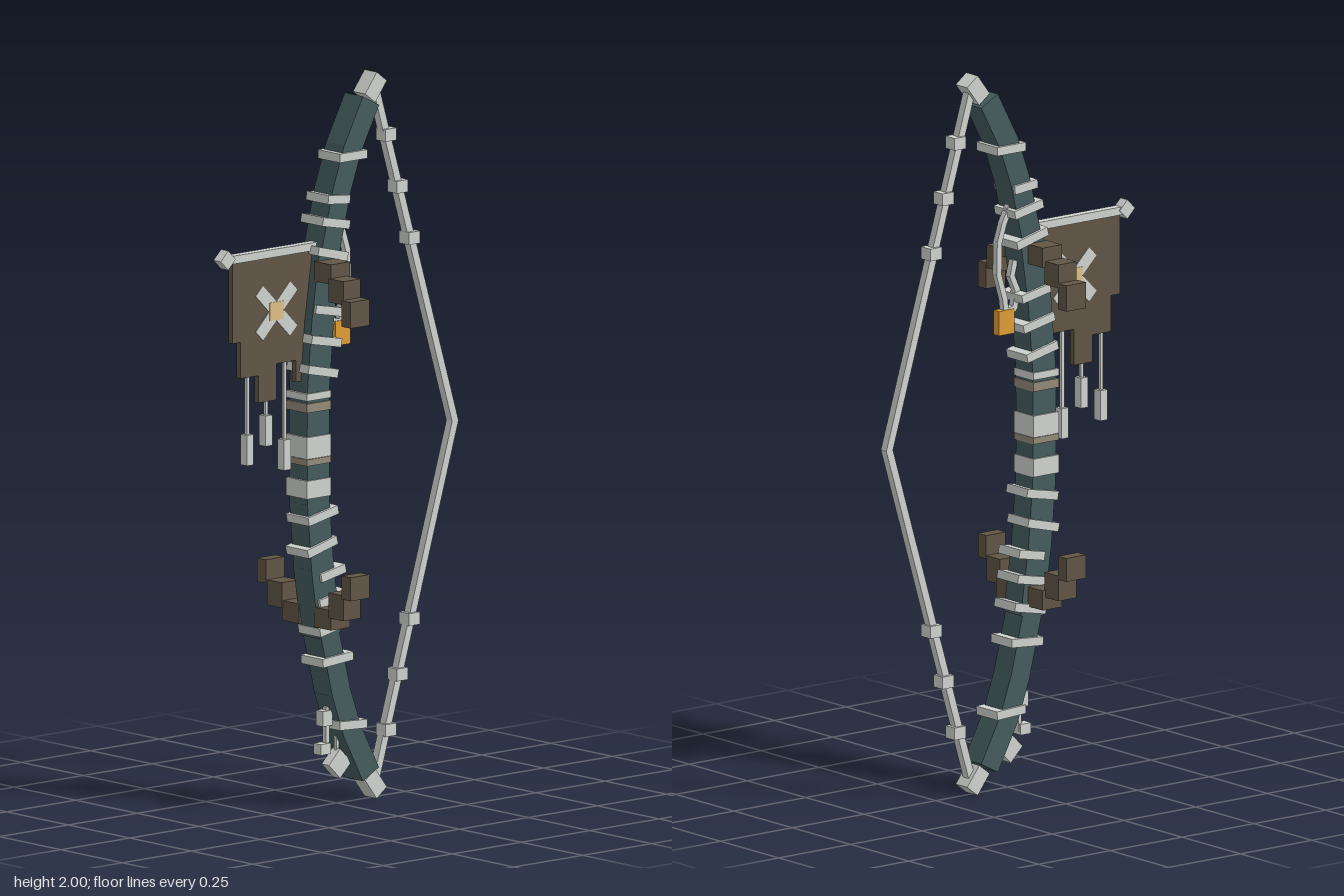
import * as THREE from 'three';

const mat = (name, color) => {
  const m = new THREE.MeshStandardMaterial({ color });
  m.name = name;
  return m;
};

export function createModel() {
  const teal = mat('dark teal wood', 0x465e60);
  const pale = mat('pale bone', 0xd3d7d3);
  const brown = mat('brown leather', 0x625747);
  const tan = mat('tan wrap', 0x968d7d);
  const amber = mat('amber', 0xe3a035);
  const straw = mat('straw', 0xe2c488);
  const root = new THREE.Group();
  root.name = 'bow';

  const box = (name, m, x, y, z, w, h, d, rot = 0) => {
    const b = new THREE.Mesh(new THREE.BoxGeometry(w, h, d), m);
    b.name = name;
    b.position.set(x, y, z);
    b.rotation.z = rot;
    root.add(b);
  };
  // Square bar between two points in the plane z = 0
  const bar = (name, m, a, b, w, d, extra = 0) => {
    const dx = b[0] - a[0], dy = b[1] - a[1];
    box(name, m, (a[0] + b[0]) / 2, (a[1] + b[1]) / 2, 0,
      w, Math.hypot(dx, dy) + extra, d, -Math.atan2(dx, dy));
  };

  // Limbs, string and tips, mirrored about y = 1
  const limb = [[-0.1, 1], [-0.098, 1.16], [-0.083, 1.34], [-0.057, 1.52], [-0.015, 1.69], [0.024, 1.80], [0.092, 1.928]];
  for (const s of [1, -1]) {
    const f = ([x, y]) => [x, 1 + s * (y - 1)];
    for (let i = 0; i < limb.length - 1; i++)
      bar('limb', teal, f(limb[i]), f(limb[i + 1]), i < 3 ? 0.08 : 0.066, 0.074, i < 5 ? 0.012 : 0);
    bar('limbTip', pale, f([0.1, 1.932]), f([0.142, 1.987]), 0.046, 0.05);
    bar('bowString', pale, f([0.13, 1.965]), f([0.42, 1]), 0.022, 0.024, 0.006);
    for (const [x, y] of [[0.18, 1.82], [0.222, 1.672], [0.265, 1.525]])
      box('stringKnot', pale, x, 1 + s * (y - 1), 0, 0.04, 0.034, 0.04);

    // Stepped guards on both faces
    for (const k of [1, -1]) {
      const steps = s > 0
        ? [[-0.075, 1.483, 0.065, 0.068, 0.055, 0.07], [-0.083, 1.44, 0.125, 0.062, 0.065, 0.06], [-0.085, 1.385, 0.172, 0.068, 0.072, 0.036]]
        : [[-0.075, 0.53, 0.065, 0.068, 0.055, 0.07], [-0.083, 0.572, 0.125, 0.062, 0.07, 0.06], [-0.085, 0.63, 0.172, 0.068, 0.065, 0.036]];
      for (const [x, y, z, w, h, d] of steps) box('guardStep', brown, x, y, k * z, w, h, d);
    }
  }

  // Grip wraps
  for (const [y, h, m] of [[1.14, 0.02, pale], [1.11, 0.025, tan], [1, 0.06, pale], [0.96, 0.018, tan], [0.885, 0.05, pale]])
    box('gripWrap', m, -0.101, y, 0, 0.088, h, 0.084);

  // Tilted bindings along the limbs
  const bindings = [
    [0.022, 1.785, 0.1, 0], [-0.03, 1.672, 0.08, -0.1], [-0.04, 1.608, 0.1, -0.2], [-0.052, 1.525, 0.11, -0.25],
    [-0.065, 1.37, 0.1, -0.2], [-0.075, 1.287, 0.11, -0.2], [-0.087, 1.205, 0.11, -0.22],
    [-0.087, 0.808, 0.11, 0.2], [-0.09, 0.722, 0.11, 0.25], [-0.05, 0.645, 0.09, 0.2],
    [-0.05, 0.575, 0.1, 0.2], [-0.045, 0.497, 0.11, 0.2], [-0.034, 0.405, 0.11, 0.08], [0.022, 0.218, 0.1, -0.05]];
  for (const [x, y, w, r] of bindings) box('binding', pale, x, y, 0, w, 0.024, 0.09, r);

  // Banner with a stepped hem
  bar('bannerPole', pale, [-0.4, 1.546], [-0.07, 1.546], 0.022, 0.024);
  box('poleFinial', pale, -0.406, 1.548, 0, 0.038, 0.038, 0.03, Math.PI / 4);
  const pts = [[-0.385, 1.537], [-0.385, 1.315], [-0.355, 1.315], [-0.355, 1.215], [-0.29, 1.215], [-0.29, 1.14],
    [-0.225, 1.14], [-0.225, 1.24], [-0.155, 1.24], [-0.155, 1.18], [-0.1, 1.18], [-0.07, 1.537]];
  const cloth = new THREE.Mesh(new THREE.ExtrudeGeometry(
    new THREE.Shape(pts.map(p => new THREE.Vector2(...p))), { depth: 0.016, bevelEnabled: false }), brown);
  cloth.name = 'bannerCloth';
  cloth.position.z = -0.008;
  root.add(cloth);
  // Emblem on both faces of the cloth
  for (const r of [1, -1]) box('emblemArm', pale, -0.227, 1.386, 0, 0.176, 0.037, r > 0 ? 0.021 : 0.02, r * Math.PI / 4);
  box('emblemCentre', straw, -0.227, 1.386, 0, 0.05, 0.05, 0.024);

  // Hanging weights
  for (const [x, top, y] of [[-0.325, 1.22, 1.015], [-0.257, 1.145, 1.06], [-0.19, 1.245, 0.985]]) {
    bar('tasselCord', pale, [x, top], [x, y], 0.009, 0.009);
    box('tasselWeight', pale, x, y, 0, 0.024, 0.084, 0.027);
  }

  // Looped cord with amber charm
  const cord = [[-0.01, 1.625], [0.018, 1.57], [0.034, 1.52], [0.036, 1.43], [0.015, 1.36], [0.01, 1.32]];
  const inner = [[-0.02, 1.46], [-0.01, 1.42], [-0.028, 1.38], [-0.02, 1.33], [0.008, 1.325]];
  for (const path of [cord, inner])
    for (let i = 0; i < path.length - 1; i++) bar('charmCord', pale, path[i], path[i + 1], 0.017, 0.018, 0.006);
  box('amberCharm', amber, 0.012, 1.296, 0, 0.054, 0.068, 0.024);

  // Lower charms
  bar('lowerCord', pale, [0, 0.23], [0, 0.12], 0.01, 0.01);
  box('diamondCharm', pale, 0, 0.11, 0, 0.058, 0.058, 0.03, Math.PI / 4);
  bar('lowerLink', pale, [-0.038, 0.27], [-0.038, 0.15], 0.012, 0.014);
  box('lowerBead', pale, -0.045, 0.24, 0, 0.034, 0.042, 0.03);
  box('lowerBead', pale, -0.052, 0.156, 0, 0.036, 0.03, 0.03);
  return root;
}
